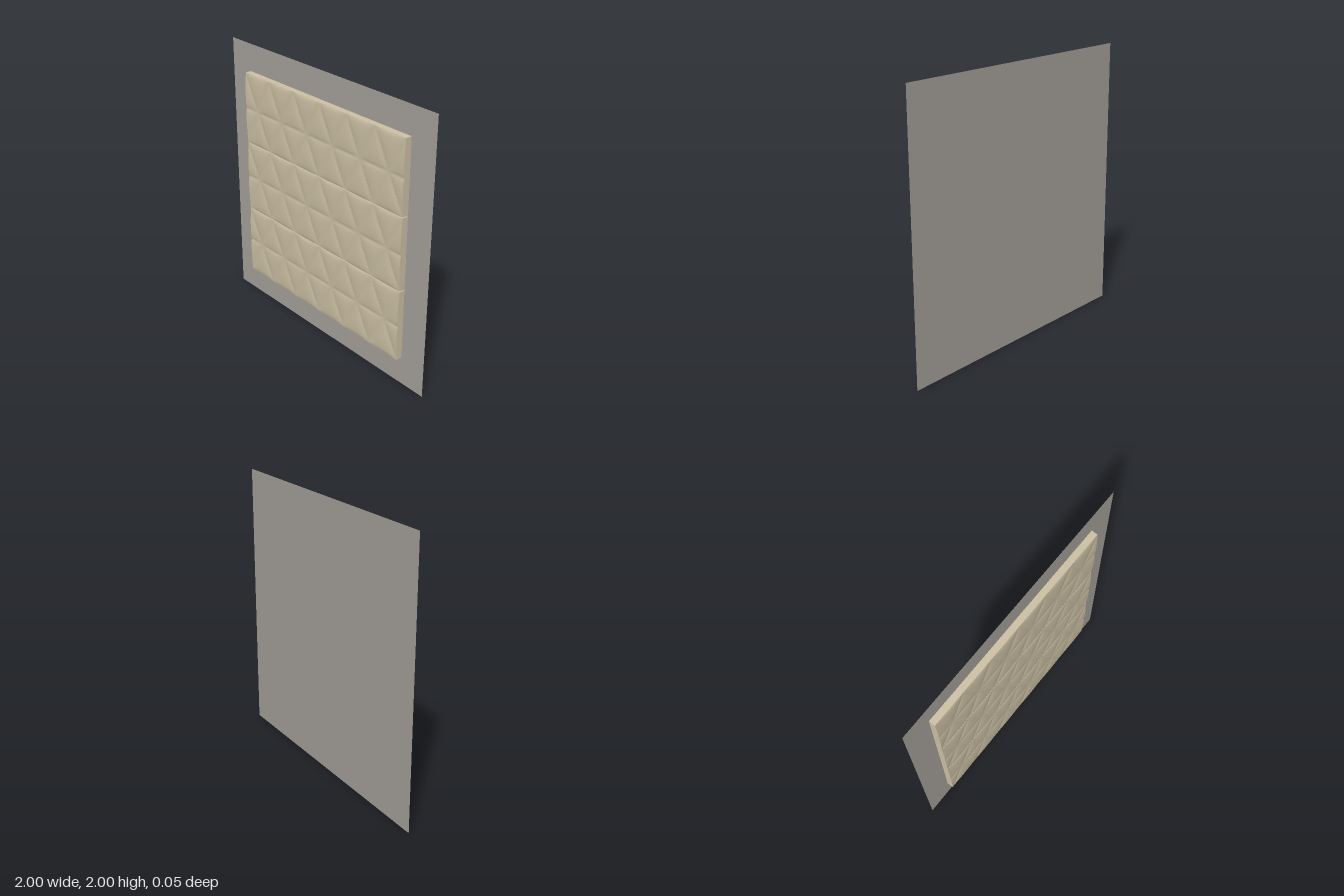
import * as THREE from 'three';

const WIDTH = 1.594, ROW = 0.527, PITCH = 0.533; // panel size and row spacing
const BACK = -0.0265, RIM = 0.019, PUFF = 0.008; // depth of back, rim and cushions
const CELLS = 6; // triangles along one row

// Height of the padded triangles: low along the seams, high in each centre
function puff(x, y) {
  const u = (x / WIDTH + 0.5) * CELLS;
  const v = (y / ROW + 0.5) * 2;
  const p = u - v / 2;
  let a = p - Math.floor(p + 1e-6), b = v - Math.floor(v + 1e-6);
  if (a + b > 1) { a = 1 - a; b = 1 - b; }
  const product = Math.max(0, 27 * a * b * (1 - a - b));
  return PUFF * Math.pow(product, 0.55);
}

// Closed slab whose front follows the cushion pattern
function paddedPanelGeometry() {
  const depth = RIM - BACK;
  const g = new THREE.BoxGeometry(WIDTH, ROW, depth, 144, 48, 1);
  g.translate(0, 0, (RIM + BACK) / 2);
  const pos = g.attributes.position;
  for (let i = 0; i < pos.count; i++) {
    if (pos.getZ(i) > 0) pos.setZ(i, RIM + puff(pos.getX(i), pos.getY(i)));
  }
  g.computeVertexNormals();
  return g;
}

export function createModel() {
  const group = new THREE.Group();
  const fabric = new THREE.MeshStandardMaterial({ color: 0xcdc1a5 });
  fabric.name = 'beige padding';
  const wallGrey = new THREE.MeshStandardMaterial({ color: 0xa6a19b, side: THREE.DoubleSide });
  wallGrey.name = 'wall grey';

  // Flat backing sheet
  const wall = new THREE.Mesh(new THREE.PlaneGeometry(2, 2), wallGrey);
  wall.name = 'wall';
  wall.position.set(0, 1, -0.027);
  group.add(wall);

  // Three stacked padded panels with narrow gaps
  const geometry = paddedPanelGeometry();
  ['lowerPanel', 'middlePanel', 'upperPanel'].forEach((name, i) => {
    const panel = new THREE.Mesh(geometry, fabric);
    panel.name = name;
    panel.position.y = 1.003 + (i - 1) * PITCH;
    group.add(panel);
  });
  return group;
}
